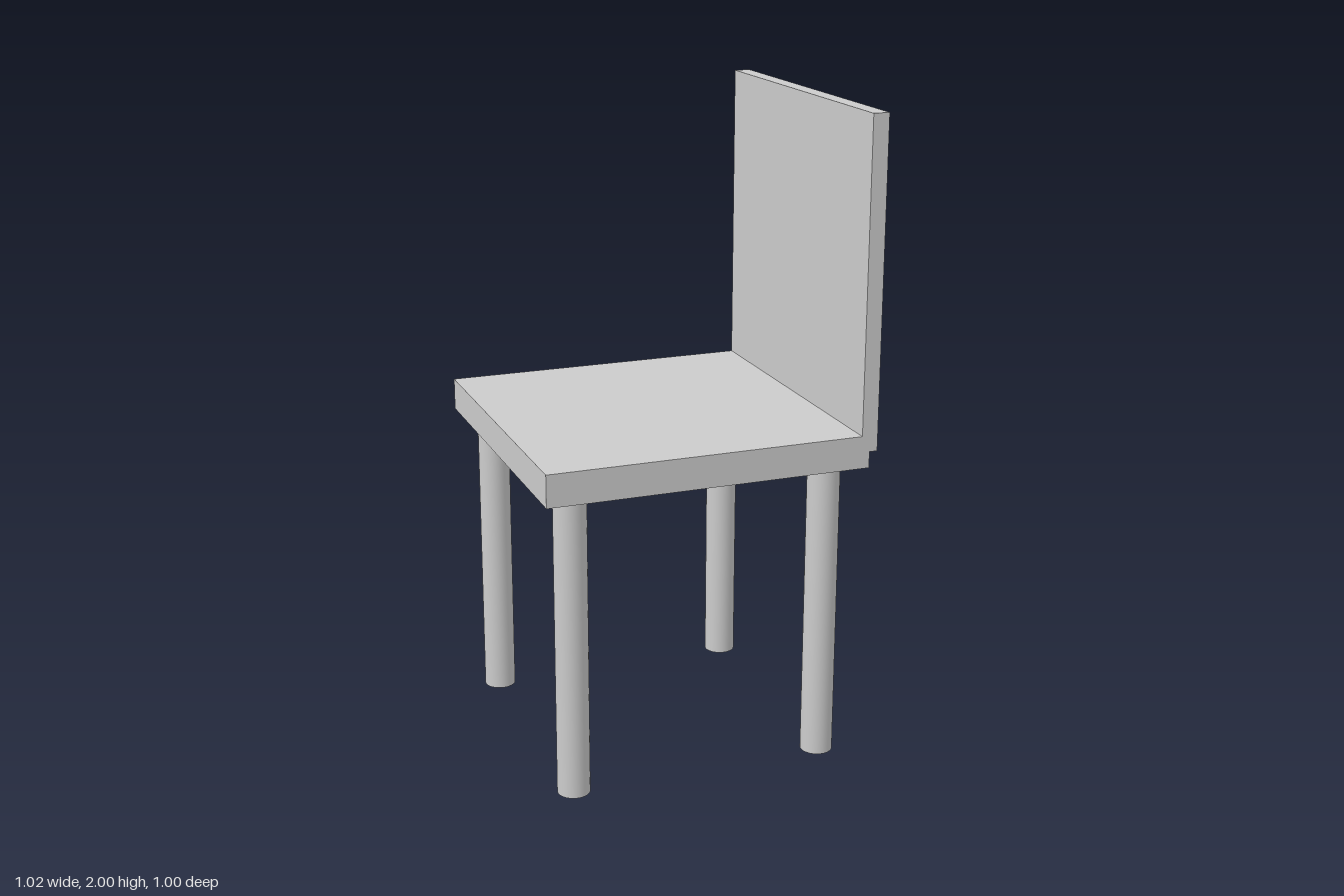
import * as THREE from 'three';

export function createModel() {
  const model = new THREE.Group();
  model.name = 'chair';
  const material = new THREE.MeshStandardMaterial({ color: 0xcccccc });

  const add = (name, geometry, x, y, z) => {
    const mesh = new THREE.Mesh(geometry, material);
    mesh.name = name;
    mesh.position.set(x, y, z);
    model.add(mesh);
  };

  const seatX = -0.0125; // seat centre, offset by the backrest overhang

  // Square seat slab
  add('seat', new THREE.BoxGeometry(1, 0.1, 1), seatX, 1, 0);

  // Upright panel straddling the +x edge of the seat
  add('backrest', new THREE.BoxGeometry(0.05, 1, 1), seatX + 0.5, 1.5, 0);

  // Four round legs, inset from the seat corners
  const legGeometry = new THREE.CylinderGeometry(0.05, 0.05, 0.95, 32);
  for (const [xName, sx] of [['Left', 1], ['Right', -1]]) {
    for (const [zName, sz] of [['front', 1], ['back', -1]]) {
      add(`${zName}${xName}Leg`, legGeometry, seatX + sx * 0.4, 0.475, sz * 0.4);
    }
  }

  return model;
}
